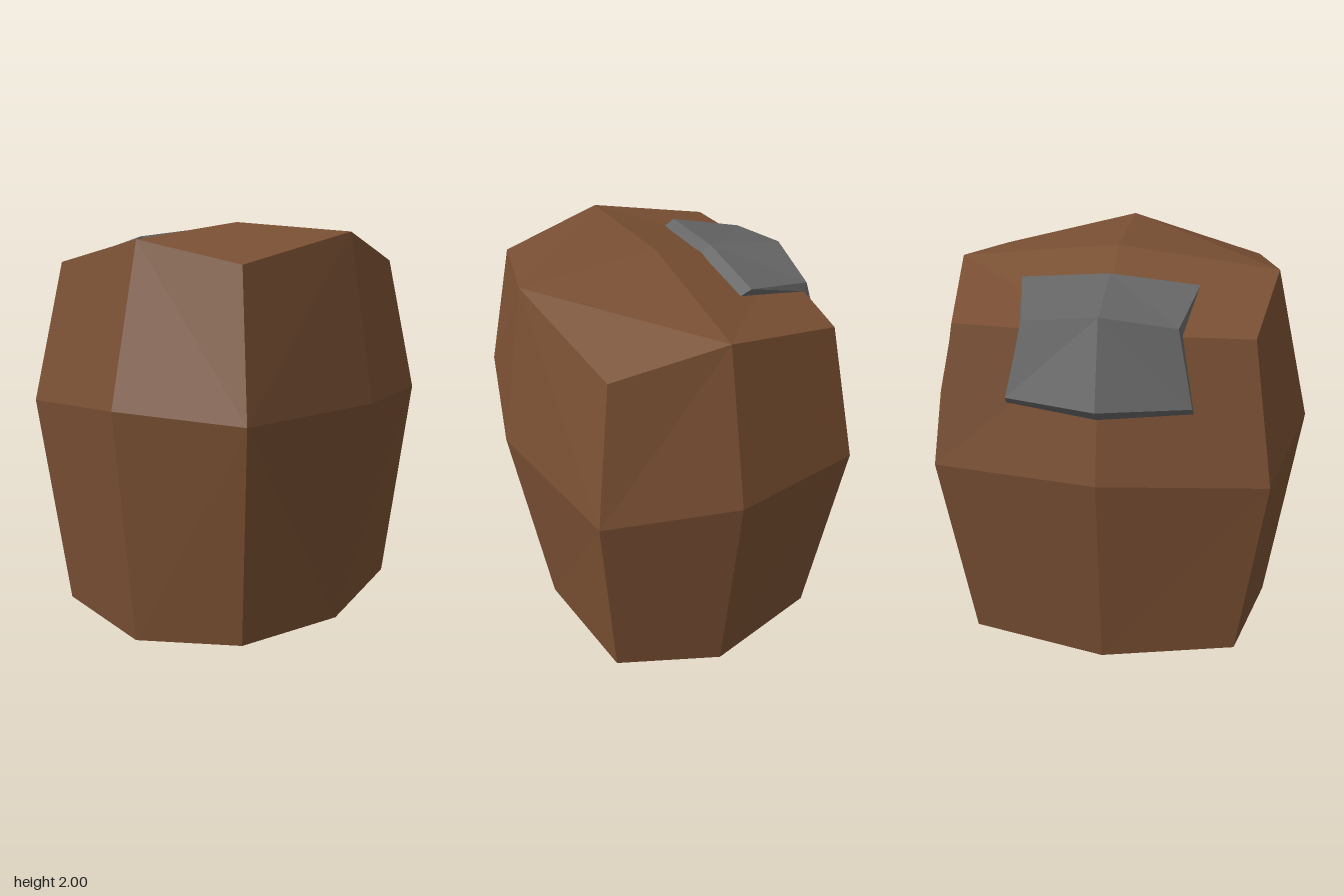
import * as THREE from 'three';

// Flat-shaded mesh from a list of triangles (each three [x, y, z] corners)
function facetedMesh(name, triangles, color) {
  const geometry = new THREE.BufferGeometry();
  geometry.setAttribute('position', new THREE.Float32BufferAttribute(triangles.flat(2), 3));
  geometry.computeVertexNormals();
  const mesh = new THREE.Mesh(geometry, new THREE.MeshStandardMaterial({ color, flatShading: true }));
  mesh.name = name;
  return mesh;
}

// Bulging block: a cube lattice with two cells along each axis
function createBody() {
  // Layers bottom, middle, top; rows back, middle, front: [x, y, z] at centre and at the left side
  const layers = [
    [[[0, 0.09, -0.645], [0.65, 0.14, -0.555]], [[0, 0, 0], [0.79, 0.09, 0]], [[0, 0.09, 0.6], [0.65, 0.14, 0.505]]],
    [[[0, 1.17, -0.775], [0.755, 1.15, -0.655]], [[0, 1.17, 0], [0.92, 1.18, 0]], [[0, 1.17, 0.775], [0.755, 1.15, 0.605]]],
    [[[0, 1.83, -0.63], [0.65, 1.81, -0.555]], [[0, 2, 0], [0.74, 1.915, 0]], [[0, 1.95, 0.645], [0.65, 1.81, 0.505]]],
  ];
  const point = ([sx, sy, sz]) => {
    const [x, y, z] = layers[sy + 1][sz + 1][Math.abs(sx)];
    return [x * sx, y, z];
  };

  const triangles = [];
  for (let axis = 0; axis < 3; axis++) {
    for (const side of [-1, 1]) for (const su of [-1, 1]) for (const sv of [-1, 1]) {
      const at = (u, v) => {
        const s = [0, 0, 0];
        s[axis] = side;
        s[(axis + 1) % 3] = u;
        s[(axis + 2) % 3] = v;
        return point(s);
      };
      const inner = [at(0, 0), at(su, 0), at(0, sv)];
      const outer = [at(su, 0), at(su, sv), at(0, sv)];
      const flip = side * su * sv < 0;
      triangles.push(flip ? inner.reverse() : inner, flip ? outer.reverse() : outer);
    }
  }
  return facetedMesh('body', triangles, 0x7a5033);
}

// Folded plate wrapped over the upper back edge, with a bevelled rim
function createPlate() {
  // Each row runs from the top end over the fold to the lower end: [centre, left side]
  const outer = [
    [[0, 1.965, -0.28], [0.395, 1.93, -0.28]],
    [[0, 1.91, -0.645], [0.33, 1.86, -0.605]],
    [[0, 1.53, -0.768], [0.402, 1.53, -0.68]],
  ];
  const inner = [
    [[0, 1.935, -0.23], [0.39, 1.905, -0.23]],
    [[0, 1.85, -0.62], [0.345, 1.825, -0.592]],
    [[0, 1.47, -0.715], [0.408, 1.49, -0.645]],
  ];
  const triangles = [];
  for (const s of [-1, 1]) {
    const mirror = ([x, y, z]) => [x * s, y, z];
    const quad = (...corners) => {
      const [a, b, c, d] = corners.map(mirror);
      triangles.push(...(s > 0 ? [[a, b, c], [a, c, d]] : [[a, c, b], [a, d, c]]));
    };
    for (let i = 0; i < 2; i++) {
      const [o, p, n, m] = [outer[i], outer[i + 1], inner[i], inner[i + 1]];
      quad(o[0], o[1], p[1], p[0]);
      quad(n[0], m[0], m[1], n[1]);
      quad(o[1], n[1], m[1], p[1]);
    }
    quad(outer[0][0], inner[0][0], inner[0][1], outer[0][1]);
    quad(outer[2][0], outer[2][1], inner[2][1], inner[2][0]);
  }
  return facetedMesh('edgePlate', triangles, 0x666666);
}

export function createModel() {
  const model = new THREE.Group();
  model.name = 'block';
  model.add(createBody(), createPlate());
  return model;
}
